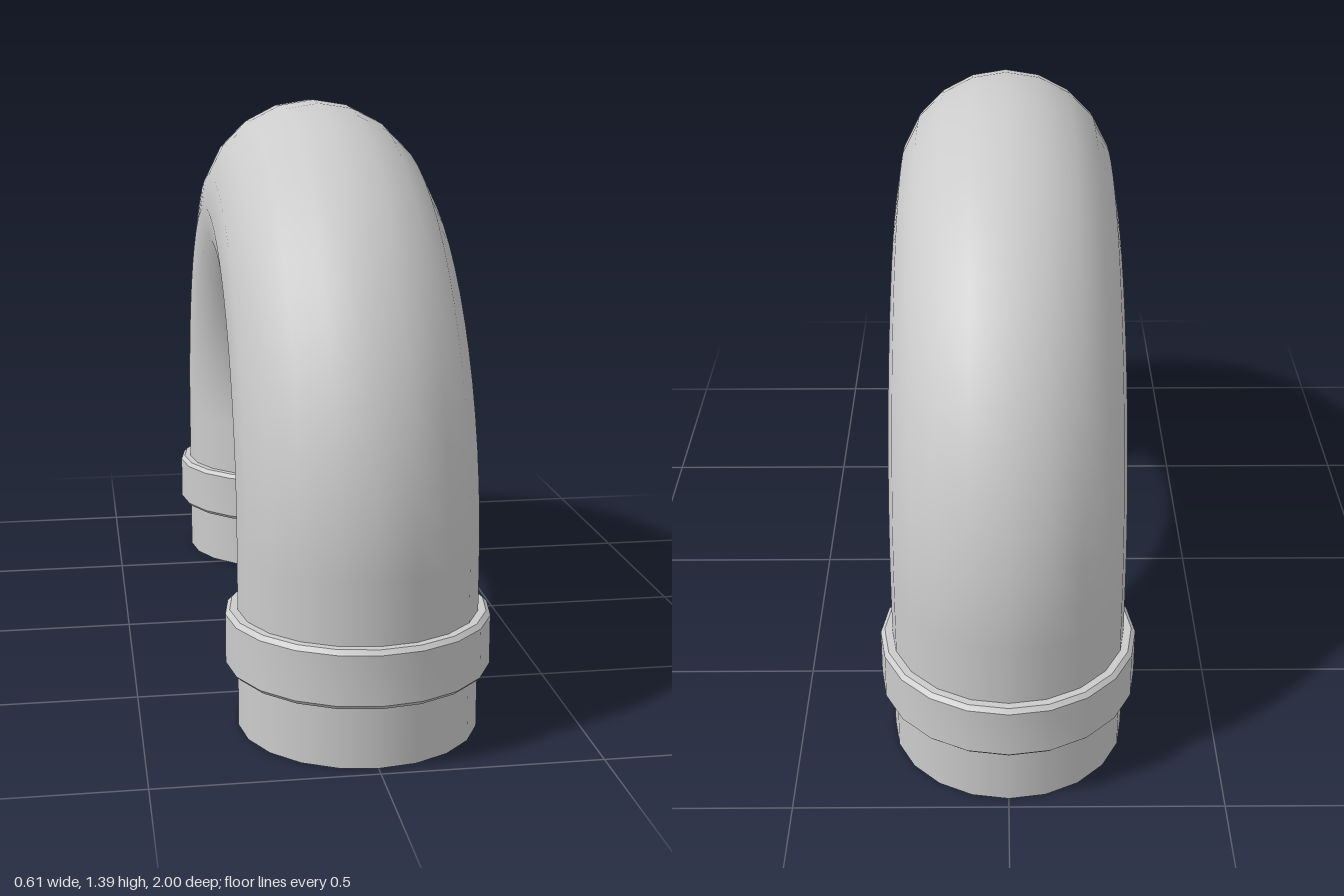
import * as THREE from 'three';
import { toCreasedNormals } from 'three/addons/utils/BufferGeometryUtils.js';

const SIDES = 20;
const TUBE = 0.277;   // pipe radius
const BEND = 0.695;   // centreline radius of the arch
const SPRING = 0.42;  // height where the legs turn into the arch

export function createModel() {
  const model = new THREE.Group();
  model.name = 'pipeArch';
  const material = new THREE.MeshStandardMaterial({ color: 0xcccccc });

  const add = (name, geometry, y, z = 0) => {
    const mesh = new THREE.Mesh(geometry, material);
    mesh.name = name;
    mesh.position.set(0, y, z);
    model.add(mesh);
  };

  // Half-circle bend, standing in the yz plane
  const bend = new THREE.TorusGeometry(BEND, TUBE, SIDES, 32, Math.PI);
  bend.rotateY(Math.PI / 2);
  add('bend', bend, SPRING);

  // Straight legs and their flat end caps
  const leg = new THREE.CylinderGeometry(TUBE, TUBE, SPRING, SIDES, 1, true);
  const cap = new THREE.CircleGeometry(TUBE, SIDES);
  cap.rotateX(Math.PI / 2);

  // Collar ring with small bevelled rims
  const outer = 0.305, low = 0.145, high = 0.28, bevel = 0.01;
  const profile = [
    [TUBE - 0.01, low], [outer - bevel, low], [outer, low + bevel],
    [outer, high - bevel], [outer - bevel, high], [TUBE - 0.01, high],
  ].map(([r, y]) => new THREE.Vector2(r, y));
  const collar = toCreasedNormals(new THREE.LatheGeometry(profile, SIDES), 0.5);

  for (const [end, z] of [['front', BEND], ['back', -BEND]]) {
    add(end + 'Leg', leg, SPRING / 2, z);
    add(end + 'EndCap', cap, 0, z);
    add(end + 'Collar', collar, 0, z);
  }
  return model;
}
